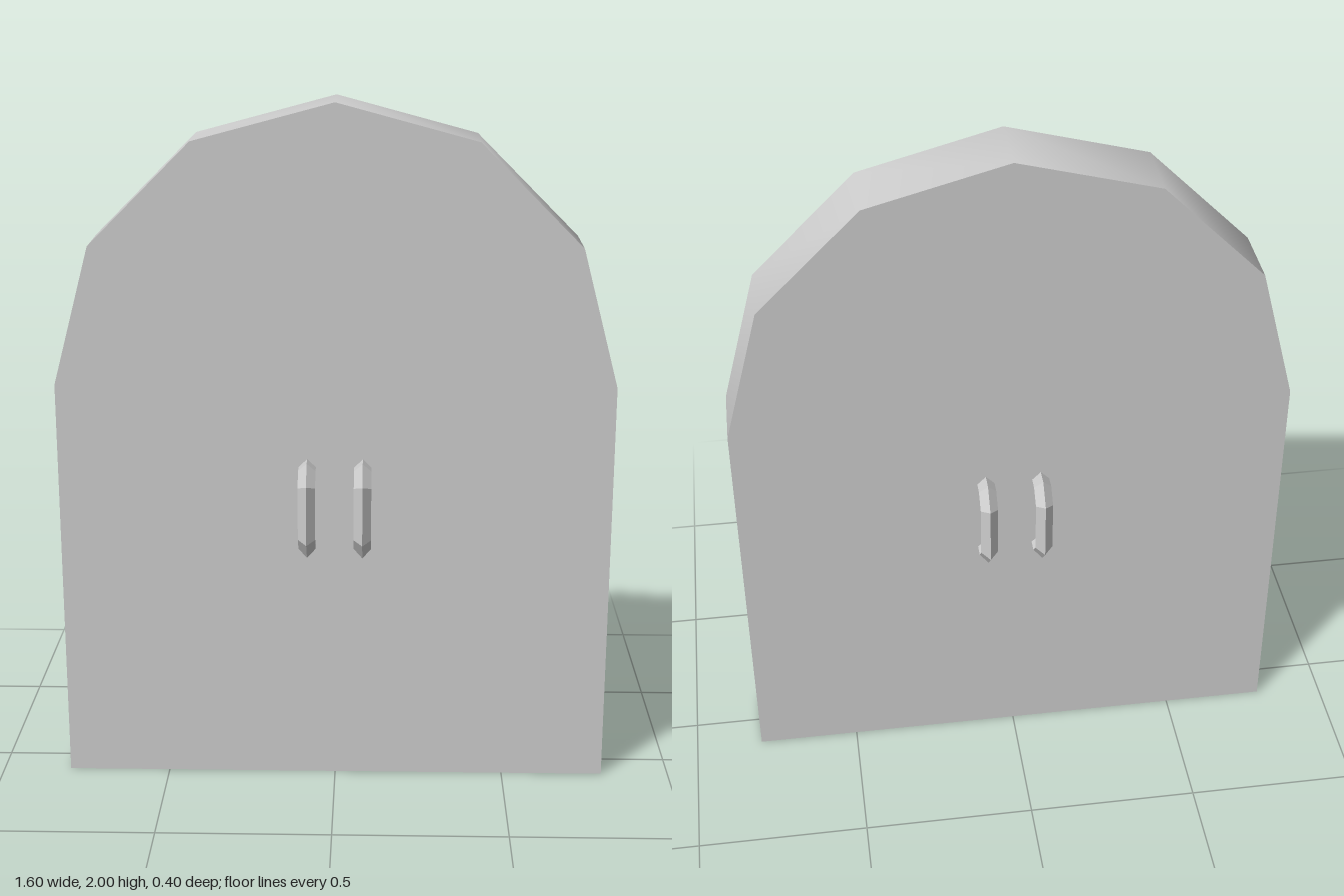
import * as THREE from 'three';
import { toCreasedNormals } from 'three/addons/utils/BufferGeometryUtils.js';

const HALF_WIDTH = 0.8, SPRING_Y = 1.2, THICKNESS = 0.2;

// Door slab: straight sides with a six-sided arch on top
function doorGeometry() {
  const shape = new THREE.Shape();
  shape.moveTo(-HALF_WIDTH, 0);
  shape.lineTo(HALF_WIDTH, 0);
  for (let i = 0; i <= 6; i++) {
    const a = (i / 6) * Math.PI;
    shape.lineTo(HALF_WIDTH * Math.cos(a), SPRING_Y + HALF_WIDTH * Math.sin(a));
  }
  shape.closePath();
  const geo = new THREE.ExtrudeGeometry(shape, { depth: THICKNESS, bevelEnabled: false });
  geo.translate(0, 0, -THICKNESS / 2);
  return toCreasedNormals(geo, 0.7);
}

// Pull handle: diamond section swept with mitred corners along a path of [z, y] points
function handleGeometry() {
  const r = 0.025;
  const path = [[0.09, 0.725], [0.137, 0.725], [0.175, 0.765], [0.175, 0.92], [0.137, 0.96], [0.09, 0.96]]
    .map(([z, y]) => new THREE.Vector2(z, y));
  const outward = (a, b) => {
    const d = b.clone().sub(a).normalize();
    return new THREE.Vector2(d.y, -d.x);
  };
  const pos = [], index = [];
  path.forEach((p, i) => {
    const n1 = outward(path[Math.max(i - 1, 0)], path[Math.max(i, 1)]);
    const last = path.length - 1;
    const n2 = outward(path[Math.min(i, last - 1)], path[Math.min(i + 1, last)]);
    const m = n1.clone().add(n2).normalize();
    m.divideScalar(m.dot(n1));
    for (let k = 0; k < 4; k++) {
      const a = (k * Math.PI) / 2, s = r * Math.sin(a);
      pos.push(r * Math.cos(a), p.y + m.y * s, p.x + m.x * s);
      if (i < last) {
        const A = i * 4 + k, B = i * 4 + ((k + 1) % 4);
        index.push(A, A + 4, B, B, A + 4, B + 4);
      }
    }
  });
  const geo = new THREE.BufferGeometry();
  geo.setAttribute('position', new THREE.Float32BufferAttribute(pos, 3));
  geo.setIndex(index);
  const flat = geo.toNonIndexed();
  flat.computeVertexNormals();
  return flat;
}

export function createModel() {
  const group = new THREE.Group();
  group.name = 'archedDoor';
  const grey = new THREE.MeshStandardMaterial({ color: 0xcccccc });
  grey.name = 'lightGrey';

  const door = new THREE.Mesh(doorGeometry(), grey);
  door.name = 'doorSlab';
  group.add(door);

  // A pair of handles on each face
  const handleGeo = handleGeometry();
  for (const [face, turn] of [['front', 0], ['back', Math.PI]]) {
    for (const [side, x] of [['Left', 0.08], ['Right', -0.08]]) {
      const handle = new THREE.Mesh(handleGeo, grey);
      handle.name = `${face}${side}Handle`;
      handle.position.x = x;
      handle.rotation.y = turn;
      group.add(handle);
    }
  }
  return group;
}
